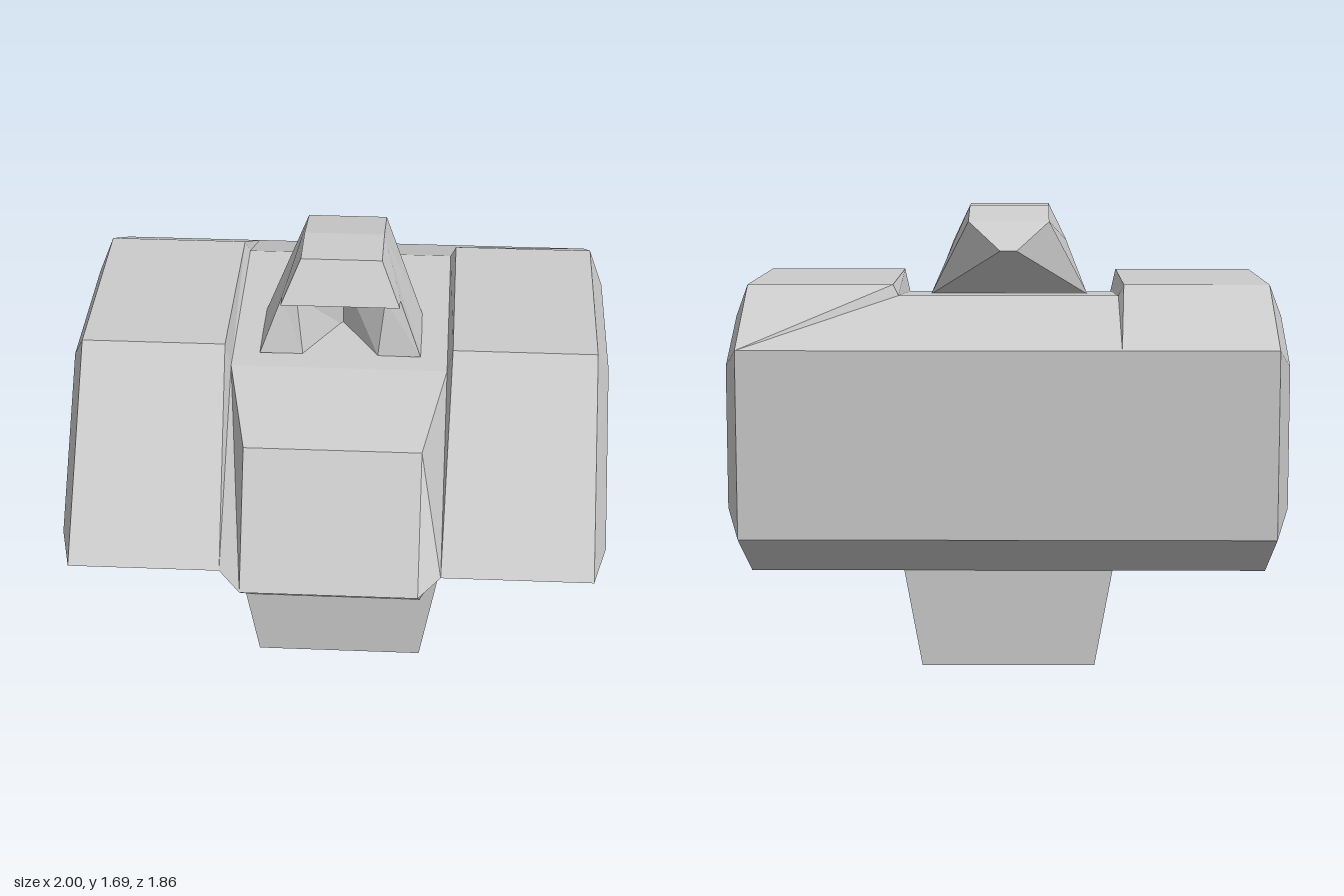
import * as THREE from 'three';

const material = new THREE.MeshStandardMaterial({ color: 0xcccccc, flatShading: true });

// Flat-shaded mesh from convex polygons (corners counter-clockwise from outside).
function facets(name, polygons) {
  const pos = [];
  for (const p of polygons)
    for (let i = 1; i < p.length - 1; i++) pos.push(...p[0], ...p[i], ...p[i + 1]);
  const geo = new THREE.BufferGeometry();
  geo.setAttribute('position', new THREE.Float32BufferAttribute(pos, 3));
  geo.computeVertexNormals();
  const mesh = new THREE.Mesh(geo, material);
  mesh.name = name;
  return mesh;
}

// Quads between successive rows of points; columns run towards +x.
function grid(rows) {
  const out = [];
  for (let j = 0; j < rows.length - 1; j++)
    for (let i = 0; i < rows[j].length - 1; i++)
      out.push([rows[j][i], rows[j + 1][i], rows[j + 1][i + 1], rows[j][i + 1]]);
  return out;
}

const flip = ([x, y, z]) => [-x, y, z];
const mirrored = (polys) => [...polys, ...polys.map((p) => p.map(flip).reverse())];

// Wide hull: profiles lofted across x, with a sunken roof strip in the middle
function createHull() {
  const outline = [[1.42, 0.26], [0.82, 0.85], [0.44, 0.26], [0.36, -0.54],
    [0.55, -0.93], [1.22, -0.93], [1.42, -0.54]];
  const inset = [[1.3, 0.16], [0.82, 0.64], [0.54, 0.16], [0.48, -0.48],
    [0.64, -0.79], [1.15, -0.79], [1.3, -0.48]];
  const section = (x, pts) => pts.map(([y, z]) => [x, y, z]);
  const end = section(1, inset);
  const shoulder = section(0.95, outline);
  const inner = section(0.4, outline);
  inner[0][0] = inner[6][0] = 0.42;
  const middle = section(0.4, outline);
  middle[0][1] = 1.33;
  middle[6][1] = 1.38;
  const half = [middle, inner, shoulder, end];
  const left = half.map((s) => s.map((p) => [...p]));
  left[0][5][0] = left[1][5][0] = 0.95; // slanted rear seam on one side only
  const sections = [...half.map((s) => s.map(flip)).reverse(), ...left];
  const rows = outline.map((_, k) => sections.map((s) => s[k]));
  rows.push(rows[0]);
  return facets('hull', [...grid(rows), end, end.map(flip).reverse()]);
}

// Tapered nose block between the two side pods
function createNose() {
  const row = (outer, front) => [
    [-0.4, ...outer], [-front[0], front[1], front[2]], front, [0.4, ...outer]];
  return facets('nose', grid([
    row([1.33, 0.26], [0.4, 1.33, 0.26]),
    row([1.33, 0.26], [0.32, 1.23, 0.66]),
    row([0.82, 0.85], [0.32, 0.785, 0.93]),
    row([0.44, 0.26], [0.32, 0.36, 0.38]),
    row([0.44, 0.26], [0.4, 0.44, 0.26]),
  ]));
}

// Neck, narrower at the bottom
function createNeck() {
  const geo = new THREE.BoxGeometry(0.8, 0.44, 0.8).translate(0, 0.22, -0.14);
  const p = geo.attributes.position;
  for (let i = 0; i < p.count; i++) if (p.getY(i) < 0.1) p.setX(i, p.getX(i) * 0.8);
  geo.computeVertexNormals();
  const mesh = new THREE.Mesh(geo, material);
  mesh.name = 'neck';
  return mesh;
}

// Hooded crest with a pointed tail and a V-shaped recess at the front
function createCrest() {
  const visor = [0.22, 1.545, 0.18], under = [0.22, 1.545, 0.12];
  const topFront = [0.15, 1.69, 0.085], topMid = [0.15, 1.69, -0.12];
  const topRear = [0.15, 1.64, -0.36], tail = [0.03, 1.54, -0.515];
  const baseRear = [0.3, 1.35, -0.12], baseFront = [0.3, 1.34, 0.18];
  const legTop = [0.165, 1.545, 0.12], legFoot = [0.14, 1.335, 0.17];
  const recessTop = [0, 1.545, -0.05], recessFoot = [0, 1.335, -0.05];
  const spine = [baseRear, tail, topRear, topMid, topFront, visor, under];
  return facets('crest', [
    ...grid(spine.map((p) => [flip(p), p])),
    ...mirrored([
      [topMid, topFront, visor, under, baseFront, baseRear, topRear],
      [topRear, baseRear, tail],
      [legTop, legFoot, baseFront, under],
      [recessTop, recessFoot, legFoot, legTop],
      [recessTop, legTop, [0, 1.545, 0.12]],
    ]),
  ]);
}

export function createModel() {
  const model = new THREE.Group();
  model.name = 'model';
  model.add(createHull(), createNose(), createNeck(), createCrest());
  return model;
}
